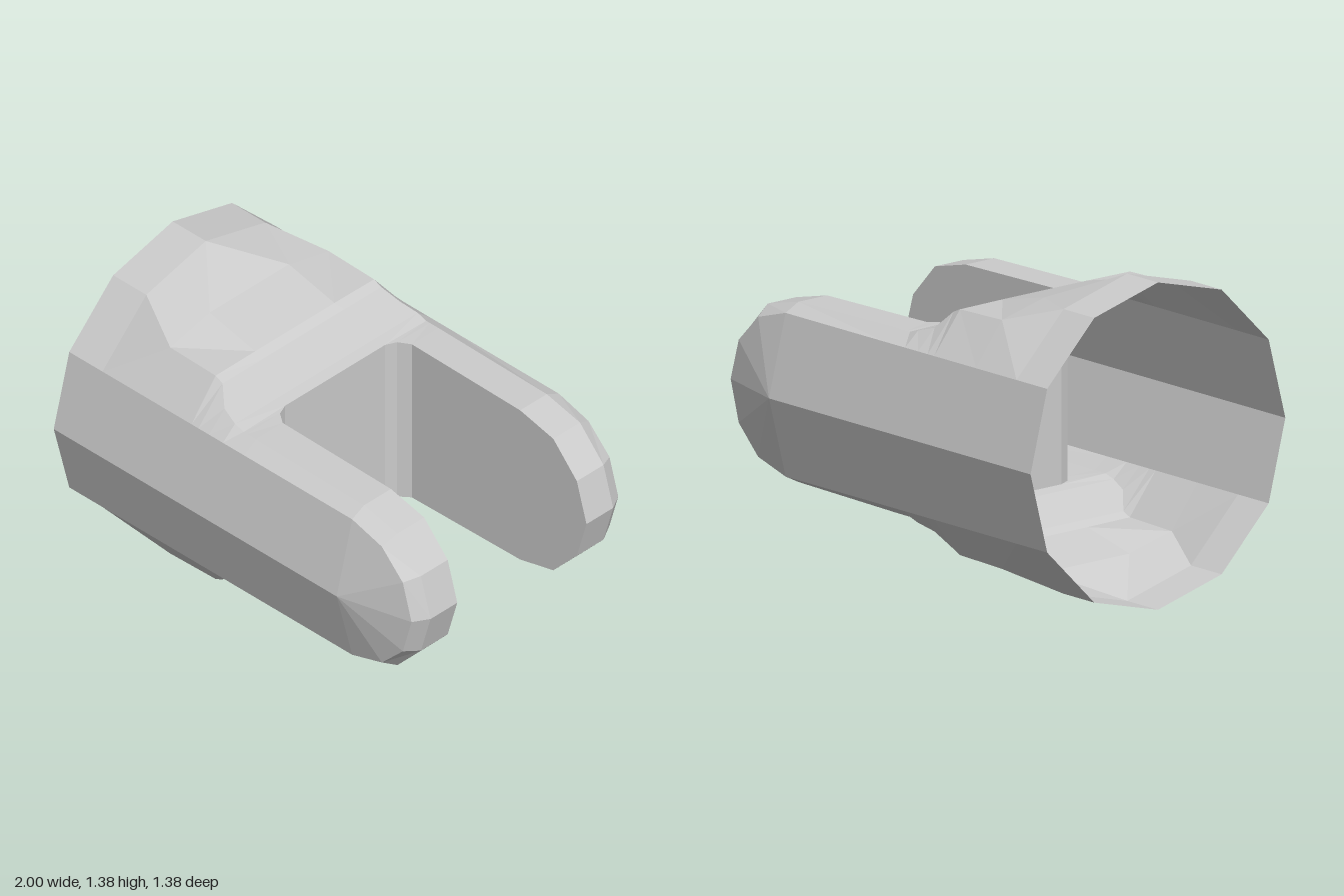
import * as THREE from 'three';

const R = 0.69; // socket radius, also height of the axis
const P0 = [0.69, 0], P1 = [0.6, 0.345]; // outer facet corners [z, y]

// one quarter cross-section at x: list of [z, y] corners turned into points
const section = (x, ...corners) => corners.map(([z, y]) => [x, y, z]);

// skin a list of rows, mirrored into the given quadrants
function skin(name, rows, material, zSigns) {
  const pos = [];
  const tri = (a, b, c, sy, sz) => {
    const [p, q, r] = [a, b, c].map(v => new THREE.Vector3(v[0], v[1] * sy, v[2] * sz));
    const area = q.clone().sub(p).cross(r.clone().sub(p)).length();
    if (area < 1e-7) return;
    for (const v of sy * sz > 0 ? [p, q, r] : [p, r, q]) pos.push(v.x, v.y + R, v.z);
  };
  for (const sy of [1, -1]) for (const sz of zSigns)
    for (let i = 0; i < rows.length - 1; i++)
      for (let j = 0; j < rows[i].length - 1; j++) {
        const a = rows[i][j], b = rows[i + 1][j], c = rows[i + 1][j + 1], d = rows[i][j + 1];
        tri(a, b, c, sy, sz);
        tri(a, c, d, sy, sz);
      }
  const geo = new THREE.BufferGeometry();
  geo.setAttribute('position', new THREE.Float32BufferAttribute(pos, 3));
  geo.computeVertexNormals();
  const mesh = new THREE.Mesh(geo, material);
  mesh.name = name;
  return mesh;
}

export function createModel() {
  const group = new THREE.Group();
  group.name = 'jointYoke';
  const mat = new THREE.MeshStandardMaterial({ color: 0xcccccc, flatShading: true, side: THREE.DoubleSide });

  // twelve-sided open socket, flattened and stepped down towards the fork
  const socket = [
    section(-1, P0, P1, [0.345, 0.6], [0, 0.69], [0, 0.69]),
    section(-0.81, P0, P1, [0.345, 0.6], [0, 0.69], [0, 0.69]),
    section(-0.56, P0, P1, [0.46, 0.525], [0.23, 0.58], [0, 0.58]),
    section(-0.3, P0, P1, [0.46, 0.518], [0.23, 0.52], [0, 0.52]),
    section(-0.26, P0, P1, [0.46, 0.5], [0.25, 0.5], [0, 0.5]),
    section(-0.2, P0, P1, [0.51, 0.43], [0.28, 0.43], [0, 0.43]),
    section(-0.12, P0, P1, [0.53, 0.405], [0.29, 0.405], [0, 0.405]),
    section(-0.07, P0, P1, [0.53, 0.39], [0.29, 0.395], [0, 0.395]),
  ];
  group.add(skin('socket', socket, mat, [1, -1]));

  // fork arm: outer facets, bevel, top and inner wall, with rounded slot corner
  const arm = [[-0.07, 0.29, 0.395], [-0.05, 0.34, 0.393], [0, 0.375, 0.39], [0.62, 0.375, 0.38]]
    .map(([x, z, h]) => section(x, P0, P1, [0.53, Math.min(h, 0.39)], [z, h], [z, 0]));

  // rounded arm tip: outline corner then rim corner, each [x, y]
  const tip = [[0.79, 0.295, 0.81, 0.335], [0.91, 0.175, 0.945, 0.19], [0.96, 0, 1, 0]];
  for (const [ox, oy, rx, ry] of tip)
    arm.push([[0.62, 0, 0.69], [ox, oy, 0.6], [rx, ry, 0.53], [rx, ry, 0.375], [0.62, 0, 0.375]]);
  group.add(skin('frontForkArm', arm, mat, [1]));
  group.add(skin('backForkArm', arm, mat, [-1]));

  // flat wall closing the slot between the arms
  const wall = [section(-0.07, [0, 0], [0.29, 0]), section(-0.07, [0, 0.395], [0.29, 0.395])];
  group.add(skin('slotWall', wall, mat, [1, -1]));

  return group;
}
